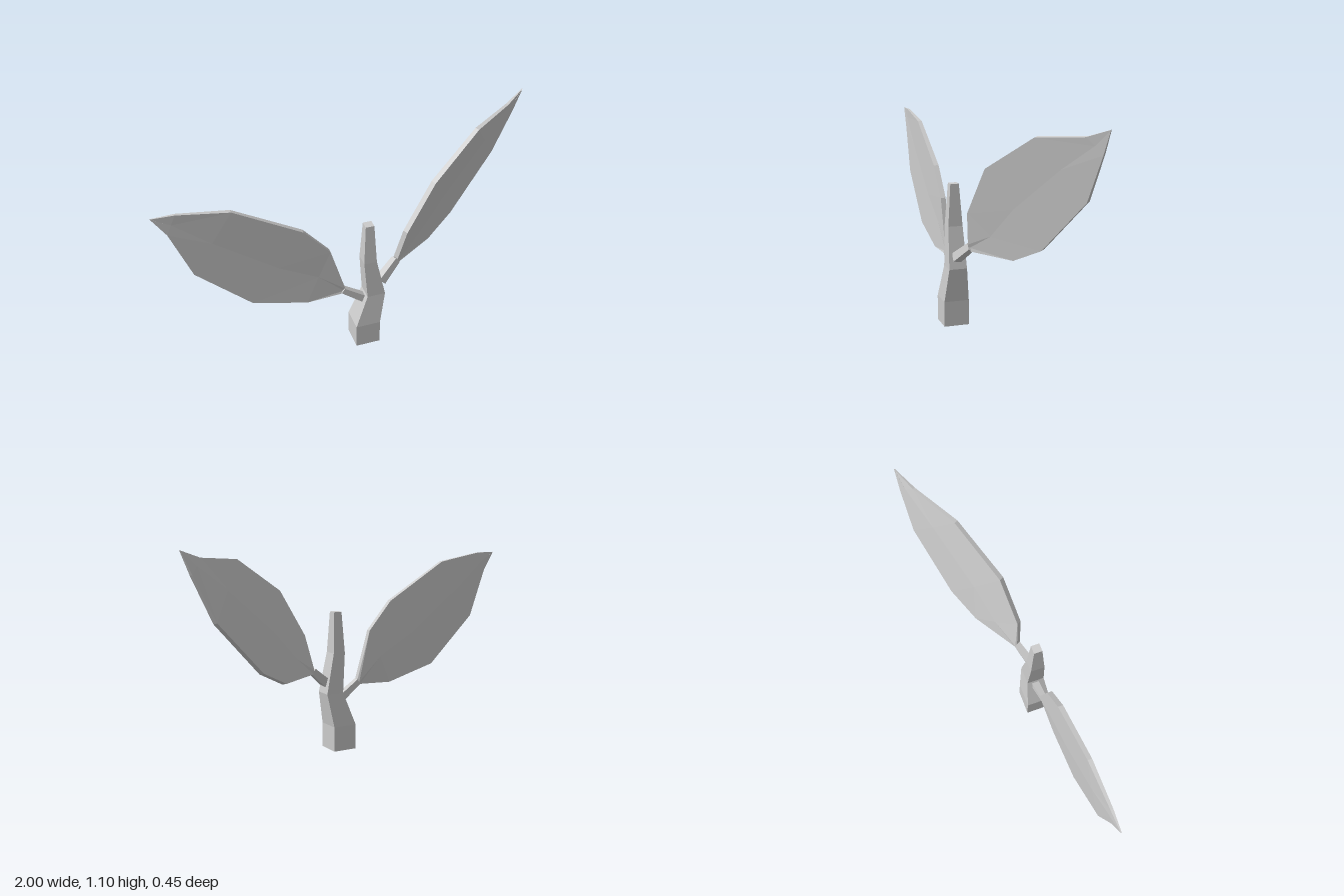
import * as THREE from 'three';

const material = new THREE.MeshStandardMaterial({ color: 0xcccccc, flatShading: true });

// Skin a closed, capped solid through rings of equal length
function loft(name, rings) {
  const n = rings[0].length;
  const points = rings.flat();
  const faces = [];
  for (let r = 0; r < rings.length - 1; r++) {
    for (let i = 0; i < n; i++) {
      const a = r * n + i, b = r * n + (i + 1) % n;
      faces.push([a, b, b + n], [a, b + n, a + n]);
    }
  }
  const last = (rings.length - 1) * n;
  for (let i = 1; i < n - 1; i++) {
    faces.push([0, i + 1, i], [last, last + i, last + i + 1]);
  }
  // Turn the faces outward if the enclosed volume comes out negative
  const cross = new THREE.Vector3();
  let volume = 0;
  for (const [a, b, c] of faces) volume += points[a].dot(cross.crossVectors(points[b], points[c]));
  if (volume < 0) faces.forEach((f) => f.reverse());

  const geometry = new THREE.BufferGeometry().setFromPoints(points);
  geometry.setIndex(faces.flat());
  const flat = geometry.toNonIndexed();
  flat.computeVertexNormals();
  const mesh = new THREE.Mesh(flat, material);
  mesh.name = name;
  return mesh;
}

// Square rod between two points
function rod(name, from, to, w0, w1) {
  const a = new THREE.Vector3(...from), b = new THREE.Vector3(...to);
  const dir = b.clone().sub(a).normalize();
  const side = new THREE.Vector3(0, 0, 1).cross(dir).normalize();
  const up = dir.clone().cross(side);
  const ring = (p, w) => [[-1, -1], [1, -1], [1, 1], [-1, 1]].map(([s, t]) =>
    p.clone().addScaledVector(side, s * w / 2).addScaledVector(up, t * w / 2));
  return loft(name, [ring(a, w0), ring(b, w1)]);
}

// Thin slab leaf, slightly folded along its midrib; depth(x, y) is its plane
function leaf(name, upper, lower, tip, depth, normal) {
  const half = [0.012, 0.013, 0.013, 0.011, 0.007, 0.002];
  const n = new THREE.Vector3(...normal).normalize();
  const rings = [...upper, tip].map((u, i) => {
    const l = lower[i] ?? tip;
    const mid = [(u[0] + l[0]) / 2, (u[1] + l[1]) / 2];
    const at = ([x, y], offset) => new THREE.Vector3(x, y, depth(x, y)).addScaledVector(n, offset);
    const h = half[i];
    return [at(u, h), at(mid, h * 0.7), at(l, h), at(l, -h), at(mid, -h * 1.5), at(u, -h)];
  });
  return loft(name, rings);
}

export function createModel() {
  const group = new THREE.Group();
  group.name = 'sprout';

  // Bent, tapering square stem: centre x, y, half width, half depth
  const stemZ = 0.162;
  const sections = [
    [0.005, 0, 0.064, 0.064],
    [0.005, 0.13, 0.064, 0.064],
    [0.053, 0.305, 0.047, 0.046],
    [0.023, 0.515, 0.033, 0.037],
    [0.023, 0.728, 0.022, 0.022],
  ];
  group.add(loft('stem', sections.map(([x, y, w, d]) =>
    [[-1, -1], [1, -1], [1, 1], [-1, 1]].map(([s, t]) =>
      new THREE.Vector3(x + s * w, y, stemZ + t * d)))));

  // Upright leaf on the right
  group.add(rod('rightLeafStalk', [0.01, 0.262, 0.16], [-0.112, 0.35, 0.16], 0.04, 0.03));
  group.add(leaf('rightLeaf',
    [[-0.1, 0.36], [-0.175, 0.615], [-0.305, 0.765], [-0.64, 0.96], [-0.89, 1.0]],
    [[-0.115, 0.333], [-0.3, 0.325], [-0.575, 0.4], [-0.84, 0.65], [-0.935, 0.9]],
    [-1, 1], () => 0.159, [0, 0, 1]));

  // Backward-swept leaf on the left
  group.add(rod('leftLeafStalk', [0.088, 0.362, 0.167], [0.188, 0.44, 0.123], 0.045, 0.035));
  group.add(leaf('leftLeaf',
    [[0.185, 0.455], [0.225, 0.62], [0.38, 0.86], [0.66, 1.035], [0.89, 1.06]],
    [[0.19, 0.42], [0.415, 0.42], [0.572, 0.5], [0.838, 0.77], [0.95, 0.99]],
    [1, 1.1], (x, y) => 0.108 - 0.62 * (x - 0.38) + 0.245 * (y - 0.86), [0.62, -0.245, 1]));

  return group;
}
